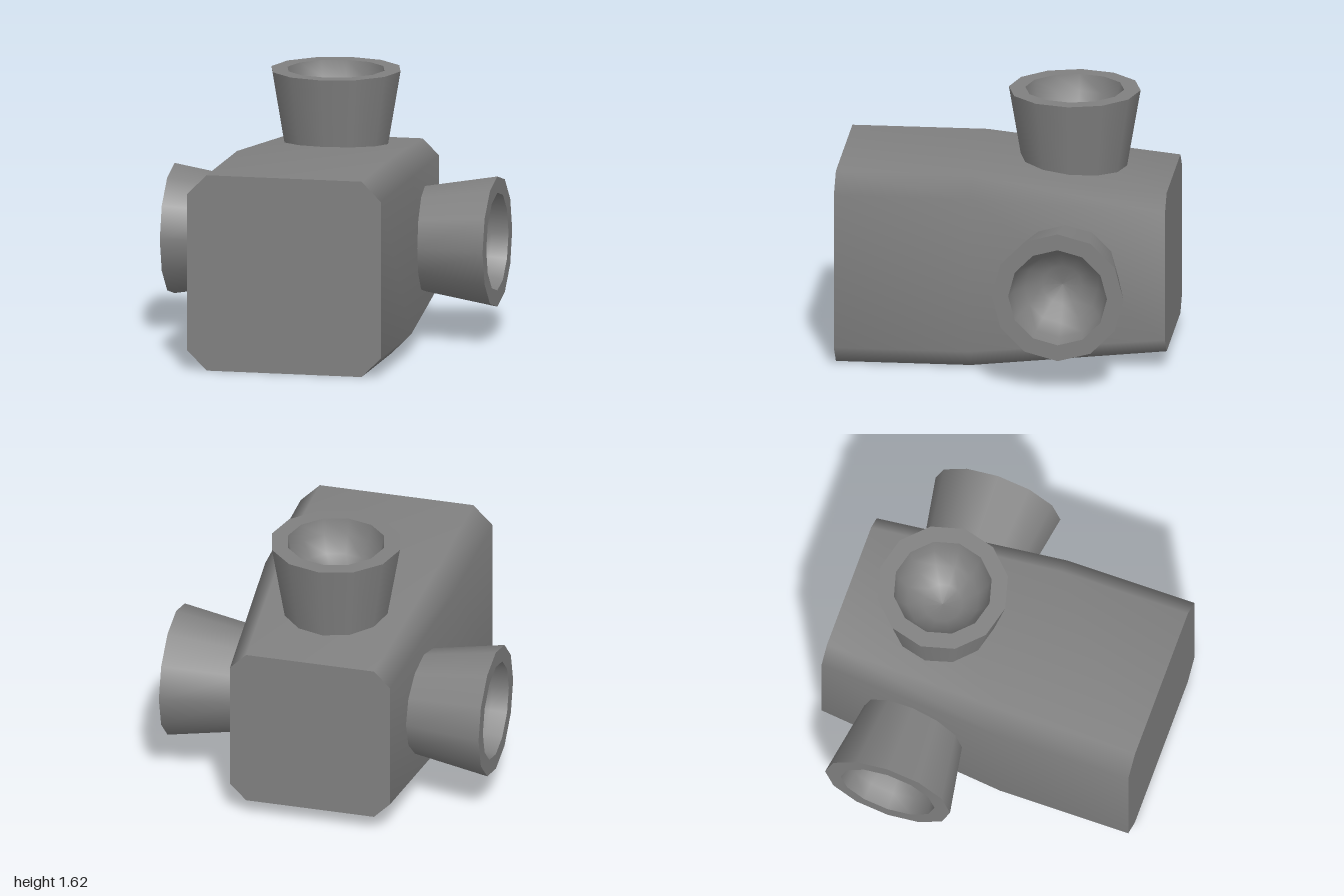
import * as THREE from 'three';

const CENTER_Y = 0.6, NOZZLE_Z = -0.4, SIDES = 12;

// half width of the body at a given depth: straight in front, tapered behind
const halfWidth = z => (z > 0.18 ? 0.6 : 0.6 - 0.1 * (0.18 - z) / 1.18);

// chamfered square, counter-clockwise, for a half width h
function octagon(h) {
  const c = h * 0.8;
  return [[h, -c], [h, c], [c, h], [-c, h], [-h, c], [-h, -c], [-c, -h], [c, -h]]
    .map(([x, y]) => new THREE.Vector2(x, y));
}

function bodyShell() {
  const pos = [], index = [];
  const depths = [1, 0.18, -1];
  for (const z of depths)
    for (const p of octagon(halfWidth(z))) pos.push(p.x, p.y, z);
  for (let r = 0; r < depths.length - 1; r++) {
    for (let i = 0; i < 8; i++) {
      const a = r * 8 + i, b = r * 8 + (i + 1) % 8;
      index.push(a, a + 8, b, b, a + 8, b + 8);
    }
  }
  const g = new THREE.BufferGeometry();
  g.setAttribute('position', new THREE.Float32BufferAttribute(pos, 3));
  g.setIndex(index);
  g.computeVertexNormals();
  return g;
}

const lathe = points =>
  new THREE.LatheGeometry(points.map(([r, y]) => new THREE.Vector2(r, y)), SIDES);

// slants the base ring so that it follows the tapered body
function fitBase(g) {
  const p = g.attributes.position;
  for (let i = 0; i < p.count; i++) {
    if (p.getY(i) > 0.6) continue;
    const d = halfWidth(NOZZLE_Z + p.getZ(i));
    const r = Math.hypot(p.getX(i), p.getZ(i));
    const k = r > 0.1 ? (0.4 - 0.172 * (1 - d)) / r : 1;
    p.setXYZ(i, p.getX(i) * k, d, p.getZ(i) * k);
  }
  return g;
}

export function createModel() {
  const model = new THREE.Group();
  const grey = new THREE.MeshStandardMaterial({ color: 0x808080 });
  grey.name = 'grey';

  const add = (parent, name, geometry) => {
    const mesh = new THREE.Mesh(geometry, grey);
    mesh.name = name;
    parent.add(mesh);
    return mesh;
  };

  // body with flat end faces
  const body = new THREE.Group();
  body.name = 'body';
  body.position.y = CENTER_Y;
  add(body, 'bodyShell', bodyShell());
  const endFace = z => new THREE.ShapeGeometry(new THREE.Shape(octagon(halfWidth(z))));
  add(body, 'frontFace', endFace(1)).position.z = 1;
  const back = add(body, 'backFace', endFace(-1));
  back.position.z = -1;
  back.rotation.y = Math.PI;
  model.add(body);

  // flared nozzles: outer wall, flat rim, rounded hollow, base
  const parts = {
    Wall: fitBase(lathe([[0.326, 0.56], [0.4, 1]])),
    Rim: lathe([[0.4, 1], [0.3, 1]]),
    Hollow: lathe([[0.3, 1], [0.28, 0.9], [0.22, 0.8], [0.12, 0.73], [0, 0.71]]),
    Base: fitBase(lathe([[0, 0.56], [0.326, 0.56]])),
  };
  const nozzles = [
    ['topNozzle', 0, 0.02],
    ['leftNozzle', -Math.PI / 2, 0],
    ['rightNozzle', Math.PI / 2, 0],
  ];
  for (const [name, angle, lift] of nozzles) {
    const nozzle = new THREE.Group();
    nozzle.name = name;
    for (const key in parts) add(nozzle, name + key, parts[key]);
    nozzle.position.set(0, CENTER_Y + lift, NOZZLE_Z);
    nozzle.rotation.z = angle;
    model.add(nozzle);
  }
  return model;
}
